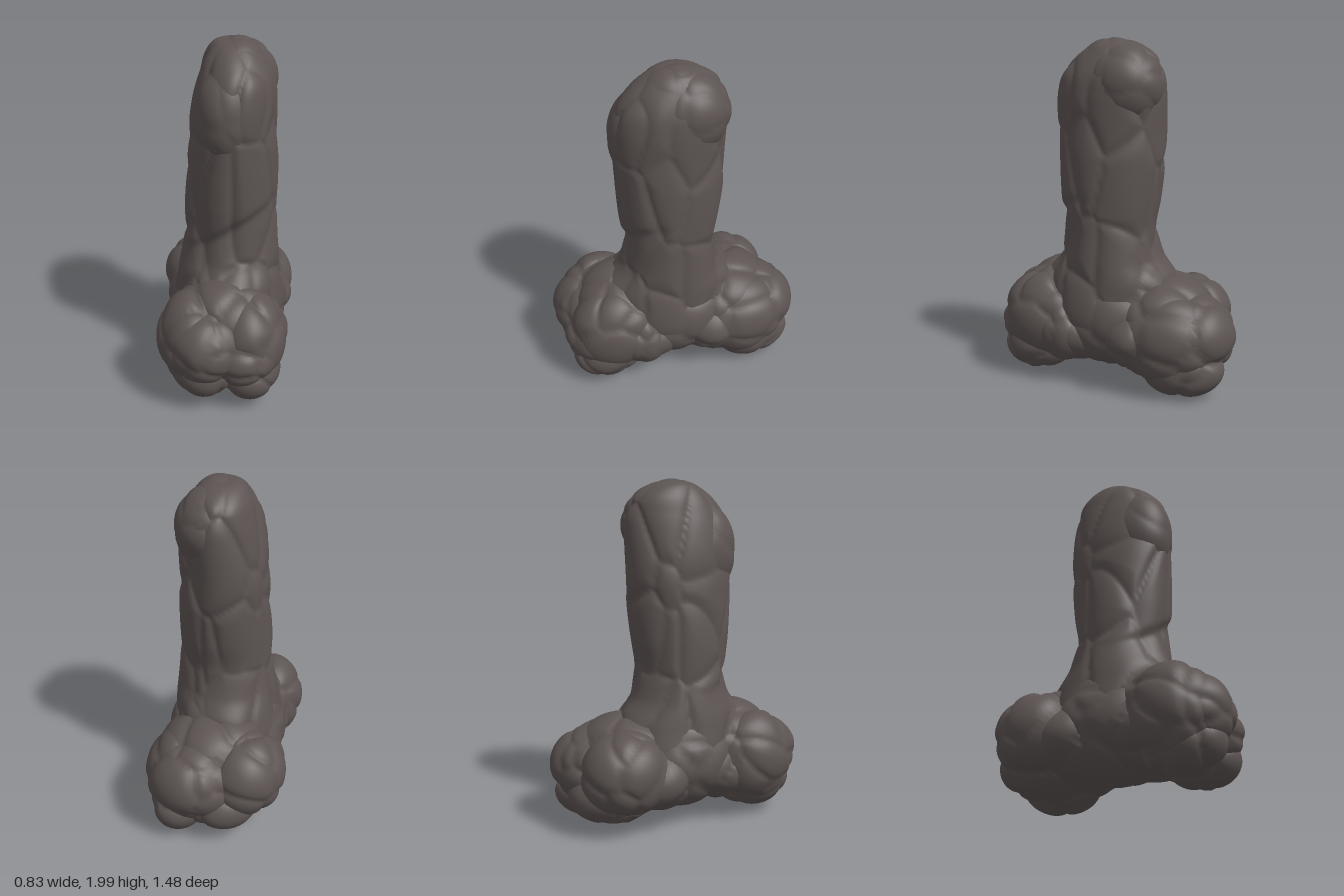
import * as THREE from 'three';
import { mergeVertices } from 'three/addons/utils/BufferGeometryUtils.js';

const material = new THREE.MeshStandardMaterial({ color: 0x5c5452 });

// Repeatable 0..1 value for a grid cell
function hash(x, y, z, k) {
  const s = Math.sin(x * 127.1 + y * 311.7 + z * 74.7 + k * 53.3) * 43758.5453;
  return s - Math.floor(s);
}

// Cell pattern: 0 on the creases between stones, 1 inside them
function cells(x, y, z) {
  const ix = Math.floor(x), iy = Math.floor(y), iz = Math.floor(z);
  let near = 9, next = 9;
  for (let a = ix - 1; a <= ix + 1; a++)
    for (let b = iy - 1; b <= iy + 1; b++)
      for (let c = iz - 1; c <= iz + 1; c++) {
        const d = Math.hypot(a + hash(a, b, c, 1) - x, b + hash(a, b, c, 2) - y, c + hash(a, b, c, 3) - z);
        if (d < near) { next = near; near = d; } else if (d < next) next = d;
      }
  return 1 - Math.exp(-(next - near) * 6);
}

// Moves every vertex by a rule and welds the seams for smooth normals
function shapeMesh(geometry, rule, name) {
  geometry.deleteAttribute('uv');
  geometry.deleteAttribute('normal');
  const pos = geometry.attributes.position, v = new THREE.Vector3();
  for (let i = 0; i < pos.count; i++) {
    rule(v.fromBufferAttribute(pos, i));
    pos.setXYZ(i, v.x, v.y, v.z);
  }
  const welded = mergeVertices(geometry, 1e-5);
  welded.computeVertexNormals();
  const mesh = new THREE.Mesh(welded, material);
  mesh.name = name;
  return mesh;
}

// Creased boulder
function boulder(name, [cx, cy, cz], [rx, ry, rz], crease = 0.02) {
  return shapeMesh(new THREE.SphereGeometry(1, 60, 40), v => {
    const x = cx + v.x * rx, y = cy + v.y * ry, z = cz + v.z * rz;
    const k = 1 + crease * (cells(x * 3.4, y * 3.4, z * 3.4) - 0.8) / Math.min(rx, ry, rz);
    v.set(cx + v.x * rx * k, cy + v.y * ry * k, cz + v.z * rz * k);
  }, name);
}

// Column outline: height, then the x and z limits
const levels = [
  [0.28, -0.27, 0.32, -0.28, 0.3],
  [0.40, -0.30, 0.35, -0.40, 0.42],
  [0.60, -0.27, 0.33, -0.38, 0.44],
  [0.75, -0.25, 0.32, -0.27, 0.33],
  [0.90, -0.23, 0.31, -0.24, 0.305],
  [1.10, -0.22, 0.305, -0.26, 0.32],
  [1.30, -0.21, 0.30, -0.28, 0.335],
  [1.50, -0.20, 0.29, -0.285, 0.345],
  [1.70, -0.165, 0.285, -0.29, 0.33],
  [1.80, -0.14, 0.27, -0.285, 0.30],
  [1.90, -0.11, 0.22, -0.24, 0.22],
  [1.97, -0.06, 0.16, -0.13, 0.12],
  [1.99, 0.05, 0.05, 0, 0],
];

function column() {
  const xs = new THREE.CatmullRomCurve3(levels.map(l => new THREE.Vector3(l[1], l[0], l[2])));
  const zs = new THREE.CatmullRomCurve3(levels.map(l => new THREE.Vector3(l[3], l[0], l[4])));
  const rows = Array.from({ length: 141 }, (_, i) => new THREE.Vector2(1, i / 140));
  const a = new THREE.Vector3(), b = new THREE.Vector3();
  return shapeMesh(new THREE.LatheGeometry(rows, 110), v => {
    xs.getPoint(v.y, a);
    zs.getPoint(v.y, b);
    const mx = (a.x + a.z) / 2, mz = (b.x + b.z) / 2;
    const dx = v.x * (a.z - a.x) / 2, dz = v.z * (b.z - b.x) / 2;
    const y = a.y;
    let push = 0.024 * (cells((mx + dx) * 3.6, y * 2, (mz + dz) * 3.6) - 0.6);
    // Slanting ledge across the front
    const ledge = y - 0.97 - 0.6 * dx;
    if (v.z > 0) push += 0.022 * v.z * (Math.tanh(ledge * 30) - 1) * Math.exp(-Math.abs(ledge) * 14);
    const k = 1 + push / 0.27 * Math.min(1, (1 - v.y) * 8);
    v.set(mx + dx * k, y, mz + dz * k);
  }, 'column');
}

export function createModel() {
  const model = new THREE.Group();
  model.name = 'rockPillar';
  model.add(column());

  // Slabs on the upper column
  model.add(
    boulder('frontSlab', [0.02, 1.59, 0.15], [0.185, 0.3, 0.215], 0.008),
    boulder('topBackSlab', [0.1, 1.74, -0.07], [0.195, 0.23, 0.225], 0.01),
    boulder('topStone', [0.07, 1.83, 0.01], [0.16, 0.17, 0.19], 0.01),
  );

  // Base core, with shoulders and bellies blending into the boulders
  const base = new THREE.Group();
  base.name = 'base';
  base.add(
    boulder('core', [0.02, 0.4, 0], [0.355, 0.33, 0.38]),
    boulder('frontShoulder', [0.02, 0.46, 0.31], [0.3, 0.235, 0.3]),
    boulder('backShoulder', [0.03, 0.43, -0.3], [0.33, 0.23, 0.3]),
    boulder('frontBelly', [0.03, 0.32, 0.21], [0.345, 0.23, 0.3]),
    boulder('backBelly', [0.02, 0.31, -0.2], [0.39, 0.24, 0.3]),
    boulder('leftSideBoulder', [0.22, 0.32, 0.25], [0.17, 0.2, 0.18]),
    // Front boulders
    boulder('frontRightBoulder', [-0.145, 0.37, 0.42], [0.215, 0.28, 0.26]),
    boulder('frontLeftBoulder', [0.165, 0.36, 0.38], [0.21, 0.28, 0.29]),
    boulder('frontMiddleBoulder', [-0.07, 0.37, 0.5], [0.23, 0.22, 0.24]),
    boulder('frontLowLeftBoulder', [0.17, 0.19, 0.45], [0.18, 0.165, 0.21]),
    boulder('frontLowRightBoulder', [-0.08, 0.21, 0.45], [0.2, 0.17, 0.24]),
    boulder('frontLedgeBoulder', [0.13, 0.31, 0.5], [0.2, 0.18, 0.2]),
    // Back boulders
    boulder('backRightBoulder', [-0.18, 0.36, -0.38], [0.235, 0.25, 0.26]),
    boulder('backLeftBoulder', [0.185, 0.32, -0.37], [0.225, 0.27, 0.32]),
    boulder('backMiddleBoulder', [0.1, 0.35, -0.48], [0.27, 0.23, 0.26]),
    boulder('backLowLeftBoulder', [0.18, 0.18, -0.44], [0.19, 0.18, 0.26]),
    boulder('backLowRightBoulder', [-0.05, 0.21, -0.41], [0.25, 0.18, 0.27]),
  );
  model.add(base);
  return model;
}
